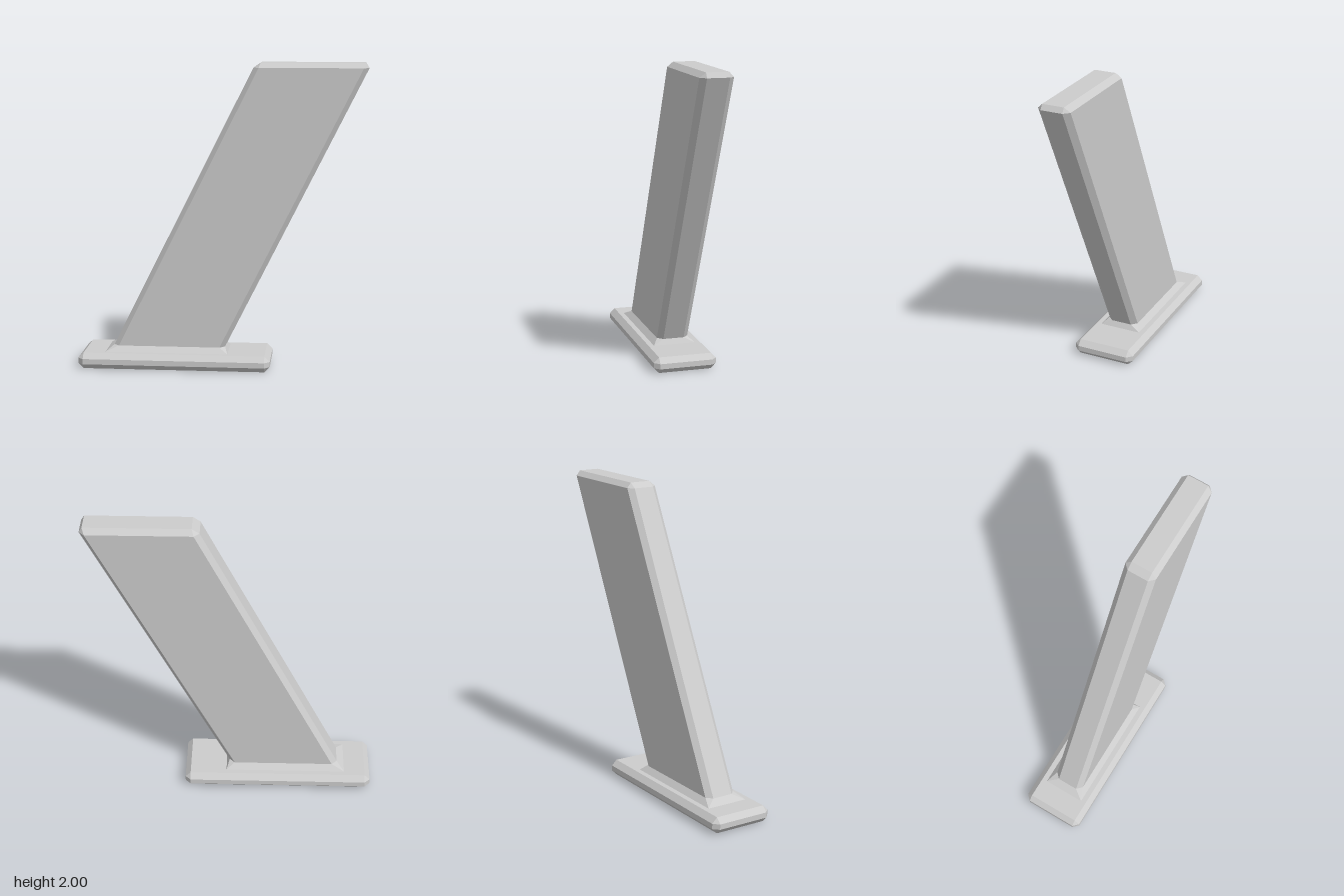
import * as THREE from 'three';

const grey = new THREE.MeshStandardMaterial({ color: 0xcccccc });
grey.name = 'lightGrey';

// Rectangular section at height y with its four corners cut by c
function section(y, x0, x1, halfZ, c = 0) {
  const z = halfZ;
  return [
    [x1, -z + c], [x1, z - c], [x1 - c, z], [x0 + c, z],
    [x0, z - c], [x0, -z + c], [x0 + c, -z], [x1 - c, -z],
  ].map(([px, pz]) => new THREE.Vector3(px, y, pz));
}

// Flat-faced solid through a stack of sections, capped at both ends
function loft(name, sections) {
  const positions = [];
  const tri = (a, b, c) => {
    const area = b.clone().sub(a).cross(c.clone().sub(a)).length();
    if (area > 1e-8) for (const p of [a, b, c]) positions.push(p.x, p.y, p.z);
  };
  for (let s = 0; s < sections.length - 1; s++) {
    const low = sections[s], high = sections[s + 1];
    for (let i = 0; i < 8; i++) {
      const j = (i + 1) % 8;
      tri(low[i], high[i], low[j]);
      tri(low[j], high[i], high[j]);
    }
  }
  const first = sections[0], last = sections[sections.length - 1];
  for (let i = 1; i < 7; i++) {
    tri(first[0], first[i], first[i + 1]);
    tri(last[0], last[i + 1], last[i]);
  }
  const geometry = new THREE.BufferGeometry();
  geometry.setAttribute('position', new THREE.Float32BufferAttribute(positions, 3));
  geometry.computeVertexNormals();
  const mesh = new THREE.Mesh(geometry, grey);
  mesh.name = name;
  return mesh;
}

export function createModel() {
  const group = new THREE.Group();
  group.name = 'slantedBladeOnFoot';
  const c = 0.035;

  // Foot plate, chamfered on every edge
  group.add(loft('footPlate', [
    section(0, -0.94 + c, 0.32 - c, 0.21 - c),
    section(c, -0.94, 0.32, 0.21, c),
    section(0.07, -0.94, 0.32, 0.21, c),
    section(0.105, -0.94 + c, 0.32 - c, 0.21 - c),
  ]));

  // Flared collar joining the blade to the foot
  group.add(loft('collar', [
    section(0.105, -0.765, 0.04, 0.14),
    section(0.14, -0.715, 0.02, 0.105, c),
  ]));

  // Leaning blade with chamfered edges and top
  group.add(loft('blade', [
    section(0.14, -0.715, 0.02, 0.105, c),
    section(1.968, 0.2, 0.935, 0.105, c),
    section(2, 0.247, 0.915, 0.07),
  ]));

  return group;
}
